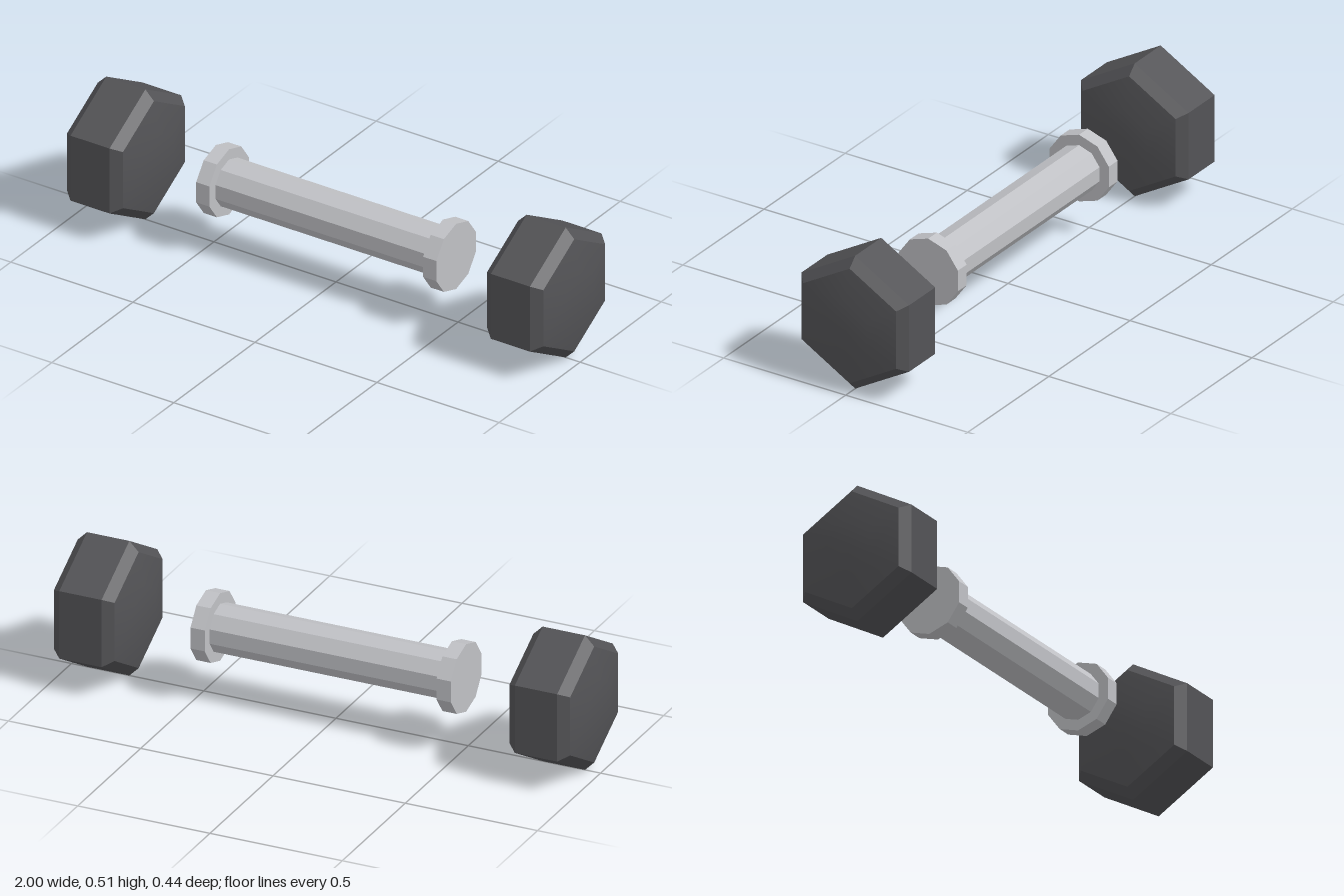
import * as THREE from 'three';

const CENTRE_Y = 0.256;

// Lays a y-axis solid along x with a corner pointing up
const layDown = (g) => g.rotateY(Math.PI / 2).rotateZ(Math.PI / 2);

// Gives every face its own flat normal
function faceted(g) {
  const flat = g.toNonIndexed();
  flat.computeVertexNormals();
  return flat;
}

// Turns [radius, height] pairs, listed bottom to top, into a six-sided solid
const hexLathe = (pairs) =>
  new THREE.LatheGeometry(pairs.map(([r, h]) => new THREE.Vector2(r, h)), 6);

export function createModel() {
  const model = new THREE.Group();
  const rubber = new THREE.MeshStandardMaterial({ color: 0x535356 });
  rubber.name = 'dark rubber';
  const steel = new THREE.MeshStandardMaterial({ color: 0xc0c1c5 });
  steel.name = 'light steel';

  function add(parent, name, geometry, material, x = 0) {
    const mesh = new THREE.Mesh(layDown(geometry), material);
    mesh.name = name;
    mesh.position.x = x;
    parent.add(mesh);
  }

  // Ten-sided handle with a wider flange at each end
  const handle = new THREE.Group();
  handle.name = 'handle';
  handle.position.y = CENTRE_Y;
  add(handle, 'grip', faceted(new THREE.CylinderGeometry(0.088, 0.088, 0.88, 10)), steel);
  for (const side of [-1, 1]) {
    const name = side > 0 ? 'leftFlange' : 'rightFlange';
    add(handle, name, faceted(new THREE.CylinderGeometry(0.128, 0.128, 0.054, 10)), steel, side * 0.465);
  }
  model.add(handle);

  // Hexagonal weights, bevelled, with softly domed faces
  for (const side of [-1, 1]) {
    const weight = new THREE.Group();
    weight.name = side > 0 ? 'leftWeight' : 'rightWeight';
    weight.position.set(side * 0.861, CENTRE_Y, 0);
    const body = [[0.22, -0.115], [0.255, -0.08], [0.255, 0.08], [0.22, 0.115]];
    add(weight, 'bevelledBody', faceted(hexLathe(body)), rubber);
    add(weight, 'lowerDome', hexLathe([[0, -0.139], [0.1, -0.139], [0.22, -0.115]]), rubber);
    add(weight, 'upperDome', hexLathe([[0.22, 0.115], [0.1, 0.139], [0, 0.139]]), rubber);
    model.add(weight);
  }
  return model;
}
